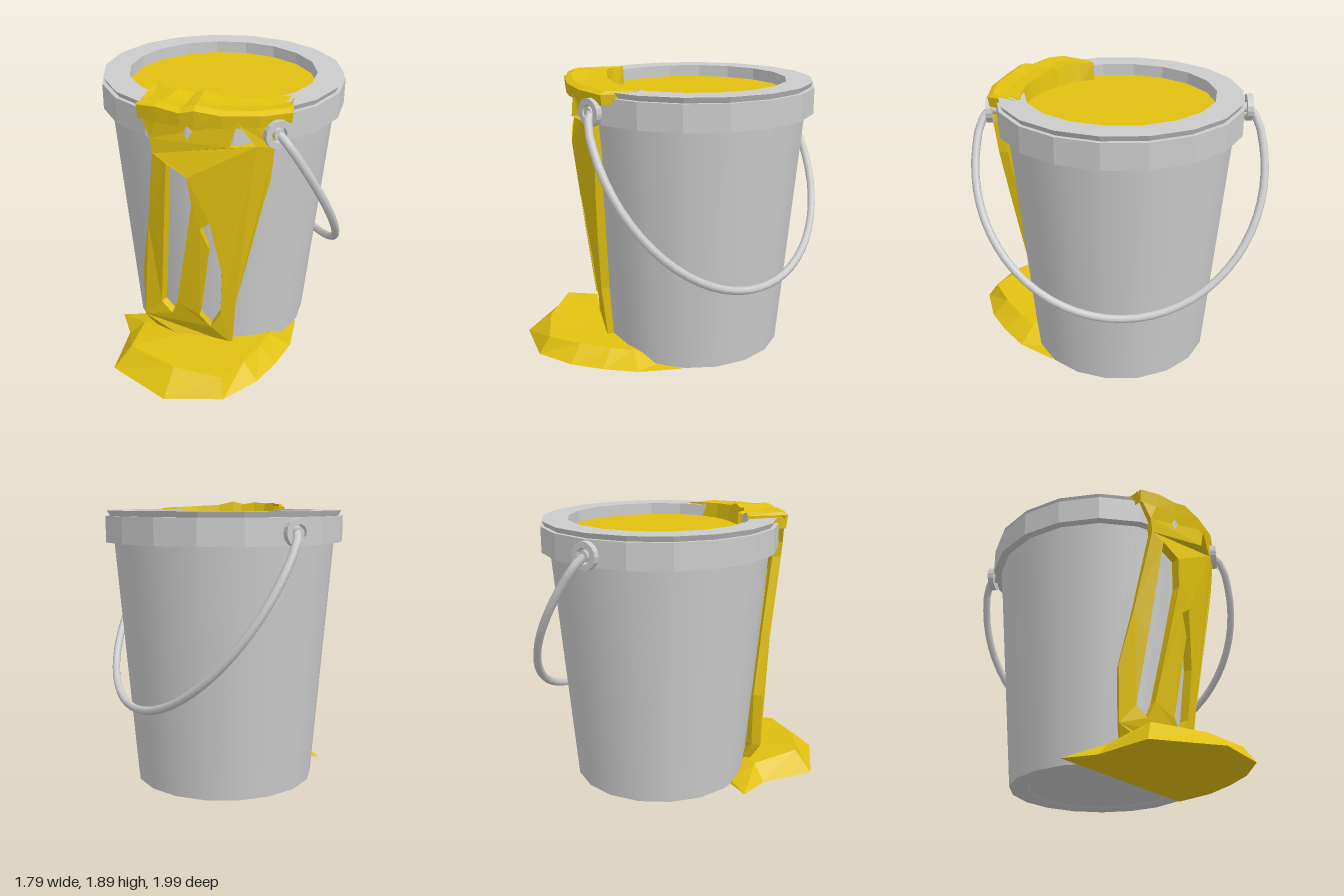
import * as THREE from 'three';

const CX = 0.104, CZ = -0.035, SIDES = 18;
const metal = new THREE.MeshStandardMaterial({ color: 0xcccccc });
const facetedMetal = new THREE.MeshStandardMaterial({ color: 0xcccccc, flatShading: true });
const paint = new THREE.MeshStandardMaterial({ color: 0xe0c010, flatShading: true, side: THREE.DoubleSide });
const v2 = (pts) => pts.map(([x, y]) => new THREE.Vector2(x, y));

function part(parent, name, geometry, material, x = 0, y = 0, z = 0) {
  const mesh = new THREE.Mesh(geometry, material);
  mesh.name = name;
  mesh.position.set(x, y, z);
  parent.add(mesh);
  return mesh;
}

// Skin a list of equally long rows of [x, y, z] points
function skin(rows, closed = false) {
  const n = rows[0].length, index = [];
  for (let r = 0; r < rows.length - 1; r++) {
    for (let i = 0; i < (closed ? n : n - 1); i++) {
      const a = r * n + i, b = r * n + (i + 1) % n;
      index.push(a, b, b + n, a, b + n, a + n);
    }
  }
  const g = new THREE.BufferGeometry();
  g.setAttribute('position', new THREE.Float32BufferAttribute(rows.flat(2), 3));
  g.setIndex(index);
  g.computeVertexNormals();
  return g;
}

// Paint sheet running down the wall: a flat outline with holes, wrapped round the bucket
function dripGeometry() {
  const shape = new THREE.Shape(v2([
    [-0.64, 1.85], [-0.59, 1.65], [-0.58, 1.55], [-0.58, 1.0], [-0.59, 0.6], [-0.59, 0.22],
    [-0.51, 0.1], [-0.38, 0.08], [-0.25, 0.07], [-0.1, 0.07], [-0.1, 0.45], [-0.05, 0.8],
    [0.0, 1.12], [0.05, 1.4], [0.055, 1.62], [0.04, 1.83], [-0.12, 1.83], [-0.28, 1.84],
    [-0.42, 1.85], [-0.54, 1.85],
  ]));
  const holes = [
    [[-0.52, 1.5], [-0.42, 1.42], [-0.39, 1.22], [-0.41, 0.85], [-0.43, 0.4], [-0.45, 0.29],
      [-0.5, 0.36], [-0.51, 0.8]],
    [[-0.29, 1.1], [-0.2, 0.7], [-0.19, 0.35], [-0.24, 0.23], [-0.31, 0.33], [-0.285, 0.9], [-0.34, 1.05]],
    [[-0.17, 1.79], [-0.06, 1.64], [-0.21, 1.64]],
  ];
  holes.forEach((h) => shape.holes.push(new THREE.Path(v2(h))));
  const g = new THREE.ExtrudeGeometry(shape, { depth: 1, bevelEnabled: false });
  const p = g.attributes.position;
  for (let i = 0; i < p.count; i++) {
    const y = p.getY(i), dx = p.getX(i) - CX;
    const r = y > 1.6 ? 0.84 : 0.66 + (y - 0.1) * 0.12;
    const dz = Math.sqrt(Math.max(r * r - dx * dx, 0.06));
    const k = 1 - (1 - p.getZ(i)) * 0.06 / r;
    p.setXYZ(i, CX + dx * k, y, CZ + dz * k);
  }
  g.computeVertexNormals();
  return g;
}

// Paint lip over the rim: [angle, inner radius, outer radius, height]
function lipGeometry() {
  const stations = [
    [-14, 0.65, 0.69, 1.838], [-4, 0.615, 0.85, 1.845], [10, 0.59, 0.855, 1.852], [25, 0.565, 0.85, 1.86],
    [36, 0.545, 0.85, 1.885], [42, 0.55, 0.85, 1.862], [52, 0.55, 0.85, 1.88], [61, 0.54, 0.86, 1.87],
    [71, 0.53, 0.6, 1.875],
  ];
  return skin(stations.map(([deg, ri, ro, h]) => {
    const a = THREE.MathUtils.degToRad(deg), s = Math.sin(a), c = Math.cos(a);
    const w = ro - ri;
    return [[ri, 1.74], [ri + w * 0.08, h + 0.005], [ri + w * 0.5, h - 0.008], [ri + w * 0.85, h],
      [ro, h - 0.02], [ro - 0.01, 1.76]].map(([r, y]) => [CX - r * s, y, CZ + r * c]);
  }));
}

// Puddle: base outline, raised crest, then centre points above and below
function puddleGeometry() {
  const base = [[-0.65, -0.13], [-0.68, 0.1], [-0.9, 0.42], [-0.7, 0.84], [-0.35, 0.995], [-0.08, 0.93],
    [0.12, 0.82], [0.31, 0.68], [0.48, 0.45]].map(([x, z]) => [x, 0, z]);
  const crest = [[-0.5, 0.02, -0.04], [-0.58, 0.1, 0.15], [-0.77, 0.145, 0.42], [-0.58, 0.13, 0.72],
    [-0.33, 0.112, 0.92], [-0.12, 0.1, 0.82], [0.06, 0.09, 0.7], [0.18, 0.08, 0.6], [0.34, 0.015, 0.44]];
  const all = (p) => base.map(() => p);
  return skin([all([-0.15, 0, 0.45]), base, crest, all([-0.2, 0.1, 0.4])], true);
}

export function createModel() {
  const model = new THREE.Group();
  model.name = 'paintBucket';

  // Bucket shell, base and rim
  part(model, 'bucketWall', new THREE.CylinderGeometry(0.748, 0.61, 1.645, SIDES, 1, true), metal, CX, 0.8275, CZ);
  const baseProfile = v2([[0, 0.012], [0.48, 0.012], [0.49, 0.005], [0.61, 0.005]]);
  part(model, 'bucketBase', new THREE.LatheGeometry(baseProfile, SIDES), facetedMetal, CX, 0, CZ);
  const rimProfile = v2([[0.72, 1.63], [0.803, 1.63], [0.803, 1.8], [0.775, 1.8], [0.792, 1.835],
    [0.62, 1.835], [0.62, 1.74]]);
  part(model, 'rim', new THREE.LatheGeometry(rimProfile, SIDES), facetedMetal, CX, 0, CZ);

  // Handle lugs, front and back
  const lugProfile = v2([[0.05, -0.02], [0.088, -0.02], [0.088, 0.02], [0.05, 0.02], [0.05, -0.02]]);
  for (const side of [1, -1]) {
    const lug = new THREE.Group();
    lug.name = side > 0 ? 'frontLug' : 'backLug';
    lug.position.set(0.067, 1.71, -0.03 + side * 0.845);
    lug.rotation.x = Math.PI / 2;
    model.add(lug);
    part(lug, 'lugRing', new THREE.LatheGeometry(lugProfile, 16), facetedMetal);
    part(lug, 'lugPin', new THREE.CylinderGeometry(0.034, 0.034, 0.09, 10), metal, 0, -side * 0.025, 0);
  }

  // Wire handle hanging to one side
  const path = [];
  const start = Math.asin(0.25 / 0.85);
  for (let i = 0; i <= 24; i++) {
    const a = start - (Math.PI + 2 * start) * (i / 24);
    path.push([1.4 + 0.85 * Math.sin(a), 0.94 * Math.cos(a)]);
  }
  path.unshift([1.73, 0.825]);
  path.push([1.73, -0.825]);
  const curve = new THREE.CatmullRomCurve3(
    path.map(([y, z]) => new THREE.Vector3(0.06 + (1.73 - y) * 0.62, y, z - 0.03)));
  part(model, 'handle', new THREE.TubeGeometry(curve, 40, 0.027, 8), metal);

  // Paint inside, over the rim, down the wall and on the floor
  part(model, 'paintSurface', new THREE.CircleGeometry(0.63, SIDES).rotateX(-Math.PI / 2).rotateY(Math.PI / 2),
    paint, CX, 1.755, CZ);
  part(model, 'paintLip', lipGeometry(), paint);
  part(model, 'paintDrip', dripGeometry(), paint);
  part(model, 'paintPuddle', puddleGeometry(), paint);
  return model;
}
